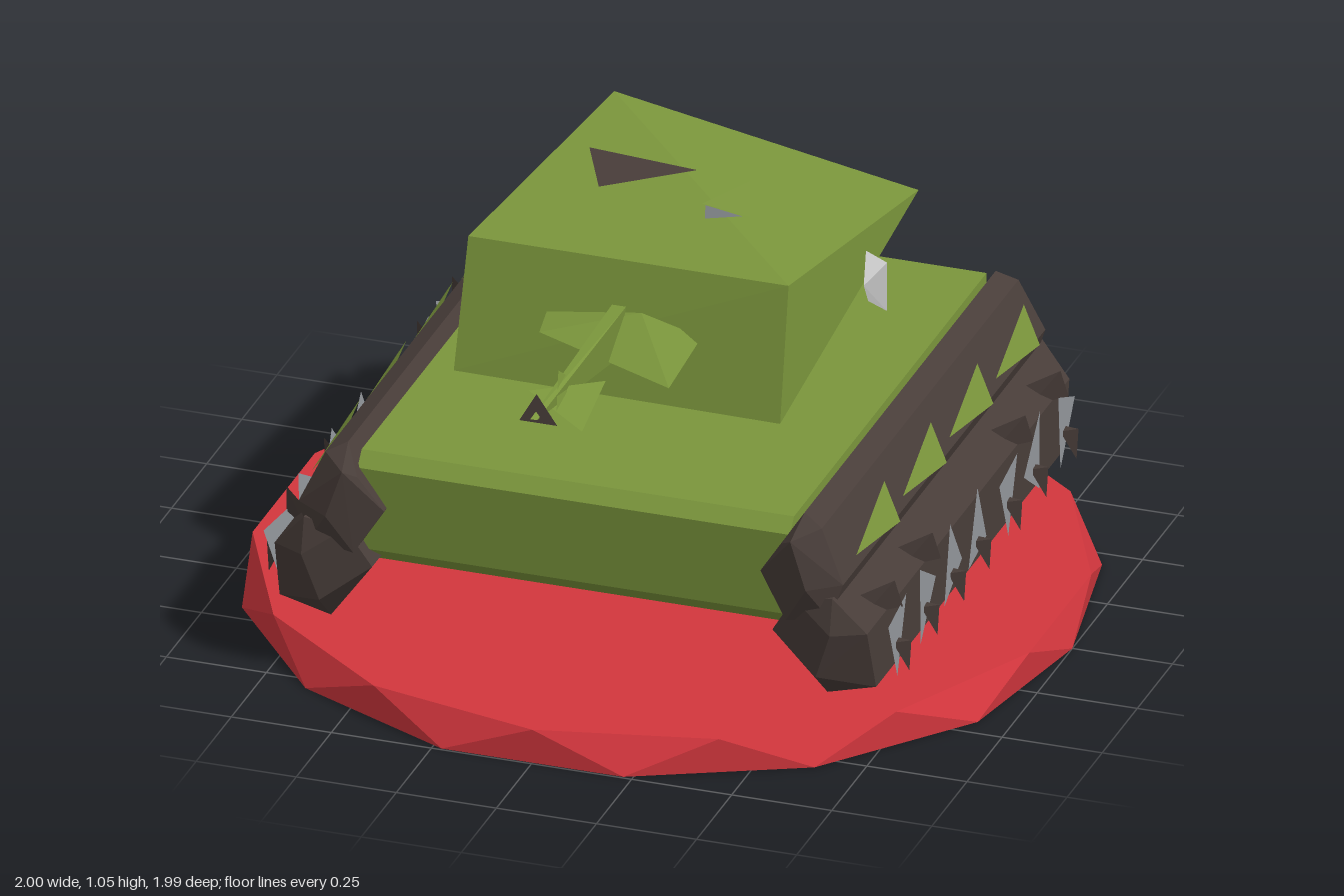
import * as THREE from 'three';
import { ConvexGeometry } from 'three/addons/geometries/ConvexGeometry.js';

const mat = (name, color) => {
  const m = new THREE.MeshStandardMaterial({ color, side: THREE.DoubleSide });
  m.name = name;
  return m;
};

export function createModel() {
  const green = mat('olive green', 0x7b963c);
  const red = mat('red', 0xd2363d);
  const brown = mat('dark brown', 0x483d39);
  const grey = mat('steel grey', 0x94989d);
  const silver = mat('light silver', 0xc9c9c9);

  const model = new THREE.Group();
  model.name = 'tankOnDisc';

  const add = (name, geometry, material, parent = model) => {
    const mesh = new THREE.Mesh(geometry, material);
    mesh.name = name;
    parent.add(mesh);
    return mesh;
  };
  // Faceted solid around corner points
  const solid = (name, pts, material, parent) =>
    add(name, new ConvexGeometry(pts.map((p) => new THREE.Vector3(...p))), material, parent);
  // Thin flat plate, fanned from its first corner
  const plate = (name, pts, material, parent) => {
    const pos = [];
    for (let i = 1; i < pts.length - 1; i++) pos.push(...pts[0], ...pts[i], ...pts[i + 1]);
    const g = new THREE.BufferGeometry();
    g.setAttribute('position', new THREE.Float32BufferAttribute(pos, 3));
    g.computeVertexNormals();
    return add(name, g, material, parent);
  };

  // Base disc: two 14-sided rings, turned half a step against each other
  const disc = [];
  for (let i = 0; i < 14; i++) {
    const a = (i / 14) * Math.PI * 2, b = a + Math.PI / 14;
    disc.push([Math.sin(a) * 0.995, 0.087, Math.cos(a) * 0.995], [Math.sin(b) * 1.02, 0, Math.cos(b) * 1.02]);
  }
  solid('baseDisc', disc.map(([x, y, z]) => [THREE.MathUtils.clamp(x, -1, 1), y, THREE.MathUtils.clamp(z, -1, 1)]), red);

  // Hull: side profile (z, y) carried across the width
  const hullProfile = [[-0.7, 0.585], [0.67, 0.585], [0.7, 0.55], [0.68, 0.33], [0.62, 0.28], [-0.62, 0.28], [-0.71, 0.34]];
  solid('hull', hullProfile.flatMap(([z, y]) => [[-0.54, y, z], [0.54, y, z]]), green);

  // Turret: a lopsided wedge
  solid('turret', [
    [-0.33, 1, -0.53], [0.4, 1, 0.31], [-0.4, 1, 0.31], [0.4, 0.82, -0.615],
    [0.4, 0.665, 0.37], [-0.41, 0.68, 0.385], [-0.38, 0.69, -0.585],
  ], green);
  plate('turretRearPanel', [[0.36, 0.8, -0.62], [-0.33, 0.885, -0.615], [-0.33, 0.73, -0.615]], brown);

  // Hatch pieces on the roof
  plate('roofHatch', [[-0.28, 1.01, -0.21], [0, 1.01, -0.18], [-0.19, 1.01, -0.02]], brown);
  plate('periscopeCover', [[0.16, 1.045, -0.1], [0.1, 1.055, 0.07], [0.22, 1.04, 0.07]], green);
  plate('periscopeGlass', [[0.11, 1.055, 0.075], [0.2, 1.038, 0.07], [0.11, 1.022, 0.08]], grey);

  // Side plate beside the turret
  plate('turretSidePlate', [
    [0.5, 0.9, 0.06], [0.46, 0.925, -0.07], [0.485, 0.86, -0.15], [0.475, 0.72, -0.175], [0.49, 0.83, 0],
  ], silver);

  // Gun: mantlet, blade-like barrel, muzzle
  solid('gunMantlet', [
    [-0.19, 0.855, 0.35], [0.05, 0.895, 0.36], [0.19, 0.84, 0.33], [0.15, 0.755, 0.45], [-0.17, 0.855, 0.46], [0.05, 0.8, 0.34],
  ], green);
  solid('gunBarrel', [[-0.02, 0.91, 0.37], [0.015, 0.91, 0.37], [0, 0.78, 0.39], [-0.01, 0.895, 0.98], [0, 0.885, 0.96]], green);
  plate('muzzleBrake', [[-0.08, 0.87, 0.79], [0.08, 0.88, 0.7], [0.07, 0.81, 0.84]], green);
  plate('muzzleFin', [[-0.01, 0.93, 0.78], [0, 0.87, 0.7], [0.01, 0.86, 0.85]], green);
  plate('muzzleOpening', [[-0.05, 0.87, 0.945], [-0.01, 0.94, 0.935], [0.045, 0.87, 0.945]], brown);

  // Engine grille slits over the rear deck
  for (let i = 0; i < 4; i++) {
    const slit = add('engineGrilleSlit', new THREE.BoxGeometry(0.42, 0.004, 0.013), brown);
    slit.position.set(-0.02, 0.64, -0.7 + i * 0.045);
  }

  // Tracks and running gear, mirrored
  const wheelAngles = [0, 0.5, 0.85, 1.05, 2.1, 1.6, 2.5];
  const wheelZ = [0.59, 0.39, 0.2, 0.02, -0.2, -0.385, -0.6];
  for (const s of [1, -1]) {
    const track = new THREE.Group();
    track.name = s > 0 ? 'leftTrack' : 'rightTrack';
    model.add(track);
    const bothEnds = (pts) => pts.flatMap(([x, y, z]) => [[s * x, y, z], [s * x, y, -z]]);

    solid('upperTrackRun', bothEnds([
      [0.57, 0.605, 0.68], [0.62, 0.58, 0.7], [0.53, 0.54, 0.73], [0.47, 0.45, 0.71],
      [0.68, 0.45, 0.72], [0.56, 0.56, 0.755], [0.6, 0.44, 0.76], [0.54, 0.34, 0.73], [0.65, 0.36, 0.73],
    ]), brown, track);
    solid('lowerTrackRun', bothEnds([
      [0.62, 0.132, 0.66], [0.745, 0.17, 0.67], [0.74, 0.33, 0.72], [0.66, 0.42, 0.74],
      [0.56, 0.4, 0.73], [0.5, 0.3, 0.71], [0.62, 0.21, 0.745], [0.66, 0.33, 0.76],
    ]), brown, track);

    // Fender wedges along the upper run
    for (let i = 0; i < 4; i++) {
      const z = 0.625 - i * 0.331;
      plate('fenderWedge', [[s * 0.68, 0.485, z], [s * 0.655, 0.55, z - 0.27], [s * 0.695, 0.45, z - 0.27]], green, track);
    }

    // Triangular road wheels with hub spikes
    wheelZ.forEach((z, i) => {
      const corners = [0, 1, 2].map((k) => {
        const a = wheelAngles[i] + (k * Math.PI * 2) / 3;
        return [s * (0.77 + 0.012 * Math.sin(a)), 0.28 - 0.115 * Math.cos(a), z + 0.108 * Math.sin(a)];
      });
      plate('roadWheel', corners, grey, track);
      solid('wheelHub', [
        [s * 0.765, 0.26, z - 0.015], [s * 0.805, 0.265, z], [s * 0.765, 0.26, z + 0.018], [s * 0.8, 0.185, z],
      ], brown, track);
    });

    // Return rollers
    for (const z of [0.6, 0.33, -0.33, -0.58]) {
      solid('returnRoller', [
        [s * 0.68, 0.38, z + 0.04], [s * 0.76, 0.41, z - 0.02], [s * 0.77, 0.33, z - 0.05], [s * 0.7, 0.33, z + 0.02],
      ], brown, track);
    }
  }
  return model;
}
